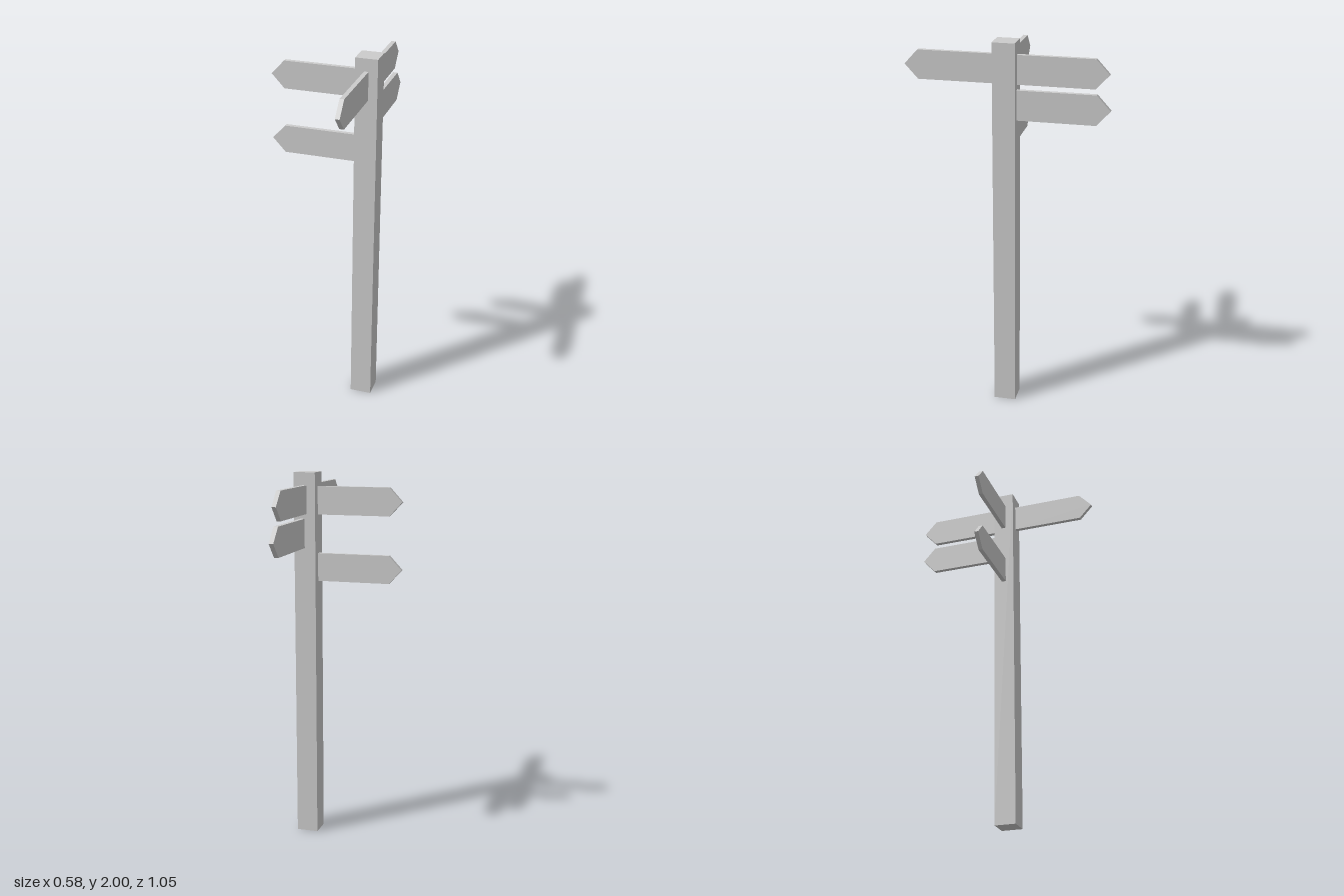
import * as THREE from 'three';

const material = new THREE.MeshStandardMaterial({ color: 0xcccccc, flatShading: true });

// Pointed board running along local +x from its root, centred in height and thickness
function makeBoard(name, { length, height, thickness, point, position, turn }) {
  const h = height / 2;
  const shape = new THREE.Shape();
  shape.moveTo(0, -h);
  shape.lineTo(length - point, -h);
  shape.lineTo(length, 0);
  shape.lineTo(length - point, h);
  shape.lineTo(0, h);
  shape.closePath();
  const geometry = new THREE.ExtrudeGeometry(shape, { depth: thickness, bevelEnabled: false });
  geometry.translate(0, 0, -thickness / 2);
  const board = new THREE.Mesh(geometry, material);
  board.name = name;
  board.position.set(...position);
  board.rotation.y = turn;
  return board;
}

export function createModel() {
  const model = new THREE.Group();
  model.name = 'signpost';

  // Square post
  const post = new THREE.Mesh(new THREE.BoxGeometry(0.117, 2, 0.116), material);
  post.name = 'post';
  post.position.set(0.2285, 1, 0.0045);
  model.add(post);

  // Two boards pointing to the right side (-x)
  const side = { length: 0.461, height: 0.149, thickness: 0.023, point: 0.069, turn: Math.PI };
  model.add(makeBoard('upperSideBoard', { ...side, position: [0.171, 1.852, 0.0045] }));
  model.add(makeBoard('lowerSideBoard', { ...side, position: [0.171, 1.497, 0.0045] }));

  // Board pointing to the front
  model.add(makeBoard('frontBoard', {
    length: 0.463, height: 0.15, thickness: 0.023, point: 0.069,
    position: [0.228, 1.858, 0.062], turn: -Math.PI / 2,
  }));

  // Two boards pointing to the back
  model.add(makeBoard('upperBackBoard', {
    length: 0.461, height: 0.15, thickness: 0.023, point: 0.069,
    position: [0.228, 1.858, -0.053], turn: Math.PI / 2,
  }));
  model.add(makeBoard('lowerBackBoard', {
    length: 0.472, height: 0.155, thickness: 0.024, point: 0.071,
    position: [0.241, 1.68, -0.053], turn: Math.PI / 2,
  }));

  return model;
}
